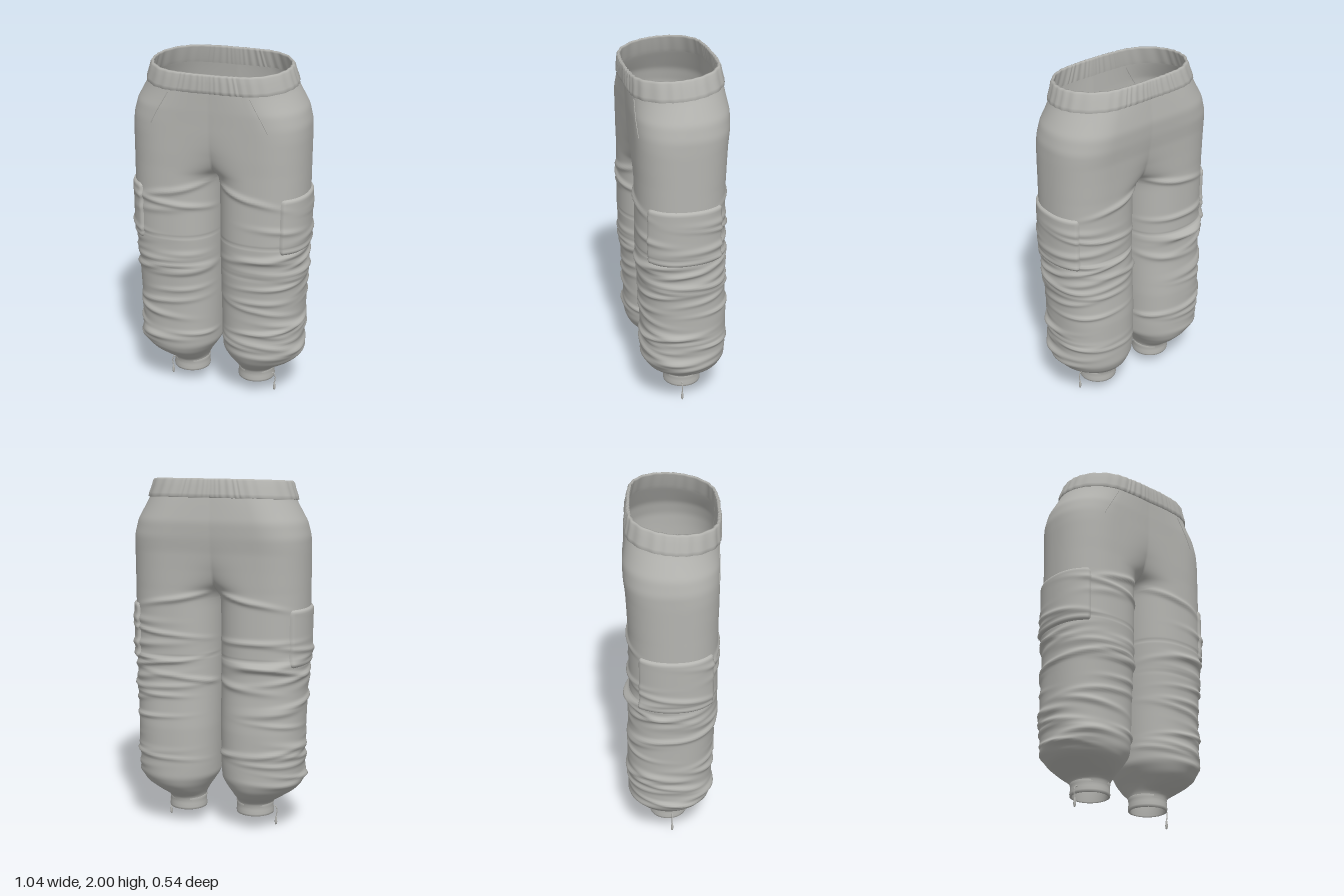
import * as THREE from 'three';
import { mergeVertices, mergeGeometries } from 'three/addons/utils/BufferGeometryUtils.js';

// Cross-sections of one half: y, centre x, outer x, inner reach / centre x, front z, back z, centre bulge
const KEYS = [
  [0.12, 0.203, 0.306, 0.51, 0.085, -0.125, 0],
  [0.16, 0.203, 0.31, 0.51, 0.09, -0.13, 0],
  [0.20, 0.21, 0.375, 0.62, 0.145, -0.185, 0],
  [0.25, 0.23, 0.45, 0.8, 0.2, -0.23, 0],
  [0.30, 0.245, 0.475, 0.94, 0.225, -0.25, 0],
  [0.60, 0.25, 0.485, 0.97, 0.23, -0.252, 0],
  [0.80, 0.25, 0.49, 0.975, 0.243, -0.24, 0],
  [1.00, 0.25, 0.497, 0.98, 0.253, -0.235, 0],
  [1.30, 0.25, 0.5, 0.985, 0.25, -0.235, 0],
  [1.34, 0.25, 0.5, 1.0, 0.25, -0.235, 0],
  [1.38, 0.25, 0.5, 1.08, 0.25, -0.235, 0],
  [1.42, 0.25, 0.5, 1.35, 0.25, -0.237, 0],
  [1.50, 0.25, 0.5, 1.8, 0.252, -0.24, 0],
  [1.60, 0.25, 0.5, 2.6, 0.253, -0.245, 0],
  [1.68, 0.248, 0.498, 3.3, 0.254, -0.255, 0],
  [1.76, 0.235, 0.48, 4, 0.254, -0.258, 0.01],
  [1.88, 0.18, 0.415, 5, 0.25, -0.235, 0.03],
  [2.00, 0.15, 0.378, 5, 0.245, -0.213, 0.05],
];

function rawKey(y) {
  let i = 0;
  while (i < KEYS.length - 2 && y > KEYS[i + 1][0]) i++;
  const t = THREE.MathUtils.clamp((y - KEYS[i][0]) / (KEYS[i + 1][0] - KEYS[i][0]), 0, 1);
  return KEYS[i].map((v, k) => v + (KEYS[i + 1][k] - v) * t);
}
function section(y) {
  const a = rawKey(y - 0.014), b = rawKey(y), c = rawKey(y + 0.014);
  return b.map((v, k) => (a[k] + 2 * v + c[k]) / 4);
}

// Cloth folds, a seeded set for each leg: height, angle, half width, slope, thickness, depth
function makeFolds(seed) {
  const rnd = () => (seed = (seed * 16807) % 2147483647) / 2147483647;
  const folds = [];
  for (const [lo, hi, n] of [[0.29, 0.53, 15], [0.58, 0.74, 4], [0.76, 1.0, 14], [1.05, 1.24, 4]])
    for (let i = 0; i < n; i++)
      folds.push([lo + (hi - lo) * (i + rnd()) / n, (rnd() * 2 - 1) * 2.4, 0.5 + rnd() * 0.6,
        (rnd() - 0.5) * 0.08, 0.011 + rnd() * 0.009, 0.007 + rnd() * 0.008]);
  // folds pulling out from the crotch, and the knee seam
  folds.push([1.29, 1.8, 0.7, 0.06, 0.016, 0.014], [1.34, -1.8, 0.7, -0.05, 0.016, 0.014]);
  folds.push([1.01, 0, 9, 0, 0.006, -0.004], [0.82, 1.4, 1, 0, 0.006, -0.005]);
  return folds;
}
const FOLDS = { 1: makeFolds(711), [-1]: makeFolds(4093) };

// Cloth surface: u runs from the back centre (-1) round the outside to the front centre (1)
function cloth(side, u, y, off = 0) {
  const [, cx, out, r, zf, zb, bulge] = section(y);
  const p = 1 - 0.13 * THREE.MathUtils.smoothstep(y, 0.2, 0.4) * (1 - THREE.MathUtils.smoothstep(y, 1.6, 1.85));
  const end = r > 1 ? Math.acos(-Math.pow(1 / r, 1 / p)) : Math.PI;
  const au = Math.abs(u), half = Math.PI / 2;
  const th = Math.sign(u) * (au < 0.5 ? au * Math.PI : half + (au - 0.5) * 2 * (end - half));
  const c = Math.cos(th), s = Math.sin(th);
  let d = off;
  for (const [fy, fa, fw, slope, thick, amp] of FOLDS[side]) {
    const da = (th - fa) / fw;
    const dy = (y - fy - slope * (th - fa)) / thick;
    if (Math.abs(dy) < 3) d += amp * Math.exp(-da * da - dy * dy) * Math.min(1, (1 - au) * 6);
  }
  const pw = (v) => Math.sign(v) * Math.pow(Math.abs(v), p);
  let x = cx + pw(c) * (c > 0 ? out - cx : r * cx) + d * c;
  x = Math.max(0, au === 1 && r > 1 ? 0 : x);
  let z = (zf + zb) / 2 + pw(s) * (zf - zb) / 2 + d * s;
  if (x < cx) z *= 1 + bulge * (1 - (x / cx) ** 2);
  const tilt = -0.08 * z * THREE.MathUtils.smoothstep(y, 1.7, 1.88);
  return new THREE.Vector3(side * x, y + tilt, z);
}

// Grid of points f(a, b), with a and b from 0 to 1
function grid(na, nb, f, flip) {
  const pos = [], idx = [];
  for (let j = 0; j <= nb; j++) for (let i = 0; i <= na; i++) pos.push(...f(i / na, j / nb).toArray());
  for (let j = 0; j < nb; j++) for (let i = 0; i < na; i++) {
    const a = j * (na + 1) + i, b = a + 1, c = a + na + 1, d = c + 1;
    idx.push(...(flip ? [a, b, c, b, d, c] : [a, c, b, b, c, d]));
  }
  const g = new THREE.BufferGeometry();
  g.setAttribute('position', new THREE.Float32BufferAttribute(pos, 3));
  g.setIndex(idx);
  return g;
}
function weld(geos) {
  const g = mergeVertices(mergeGeometries(geos), 1e-4);
  g.computeVertexNormals();
  return g;
}

export function createModel() {
  const group = new THREE.Group();
  const fabric = new THREE.MeshStandardMaterial({ color: 0xb4b4b0, side: THREE.DoubleSide });
  fabric.name = 'grey fabric';
  const add = (name, geo) => {
    const m = new THREE.Mesh(geo, fabric);
    m.name = name;
    group.add(m);
    return m;
  };

  // Seat and both legs, welded along the centre seam
  add('trouserBody', weld([1, -1].map((s) =>
    grid(96, 180, (a, b) => cloth(s, a * 2 - 1, 0.13 + b * 1.76), s < 0))));

  // Gathered elastic waistband: outside, rolled top edge, inside
  const band = [[1.878, 0], [1.88, 0.008], [1.9, 0.011], [1.94, 0.009], [1.97, 0.01],
    [1.981, 0.005], [1.981, -0.004], [1.97, -0.008], [1.9, -0.006], [1.878, -0.004]];
  add('waistband', weld([1, -1].map((s) => grid(120, band.length - 1, (a, b) => {
    const [y, off] = band[Math.round(b * (band.length - 1))];
    const k = a * 2 - 1;
    const pleat = 0.0025 * Math.sin(k * 70 + 2 * Math.sin(k * 13)) * (1 - k ** 8);
    return cloth(s, k, y, off + pleat);
  }, s < 0))));

  for (const s of [1, -1]) {
    const label = s > 0 ? 'left' : 'right';

    // Cargo pocket wrapped round the outer thigh, with rounded corners
    add(label + 'CargoPocket', weld([grid(40, 36, (a, b) => {
      const u = a * 2 - 1, v = b * 2 - 1;
      const corner = 1 - 0.09 * Math.pow(Math.abs(v), 14);
      const edge = Math.max(Math.abs(u), Math.abs(v));
      const off = edge > 0.99 ? -0.006 : edge > 0.94 ? 0.01 : 0.014;
      return cloth(s, 0.03 + 0.29 * u * corner, 1.135 + 0.163 * v, off);
    }, s < 0)]));

    // Slanted hand pocket seam, laid on the cloth
    const seam = [];
    for (let i = 0; i <= 8; i++) {
      const t = i / 8, y = 1.865 - 0.2 * t, x = 0.23 + 0.1 * t;
      let lo = 0.2, hi = 1;
      for (let n = 0; n < 24; n++) {
        const mid = (lo + hi) / 2;
        if (Math.abs(cloth(s, mid, y).x) > x) lo = mid; else hi = mid;
      }
      seam.push(cloth(s, lo, y));
    }
    add(label + 'HandPocketSeam', new THREE.TubeGeometry(new THREE.CatmullRomCurve3(seam), 24, 0.003, 6));

    // Ankle cuff
    const cuff = [[0.094, 0.145], [0.094, 0.085], [0.1, 0.08], [0.107, 0.083], [0.109, 0.095],
      [0.106, 0.115], [0.106, 0.135], [0.109, 0.15], [0.104, 0.156]]
      .map(([r, y]) => new THREE.Vector2(r, y));
    add(label + 'AnkleCuff', new THREE.LatheGeometry(cuff, 48)).position.set(s * 0.203, 0, -0.02);

    // Drawcord with its toggle
    const cord = new THREE.CatmullRomCurve3([[0.3, 0.115], [0.318, 0.112], [0.326, 0.09], [0.322, 0.05]]
      .map(([x, y]) => new THREE.Vector3(s * x, y, 0.003)));
    add(label + 'Drawcord', new THREE.TubeGeometry(cord, 16, 0.003, 6));
    const toggle = [[0, 0], [0.005, 0.003], [0.008, 0.018], [0.006, 0.038], [0.003, 0.054], [0, 0.056]]
      .map(([r, y]) => new THREE.Vector2(r, y));
    add(label + 'CordToggle', new THREE.LatheGeometry(toggle, 12)).position.set(s * 0.321, 0, 0.003);
  }
  return group;
}
